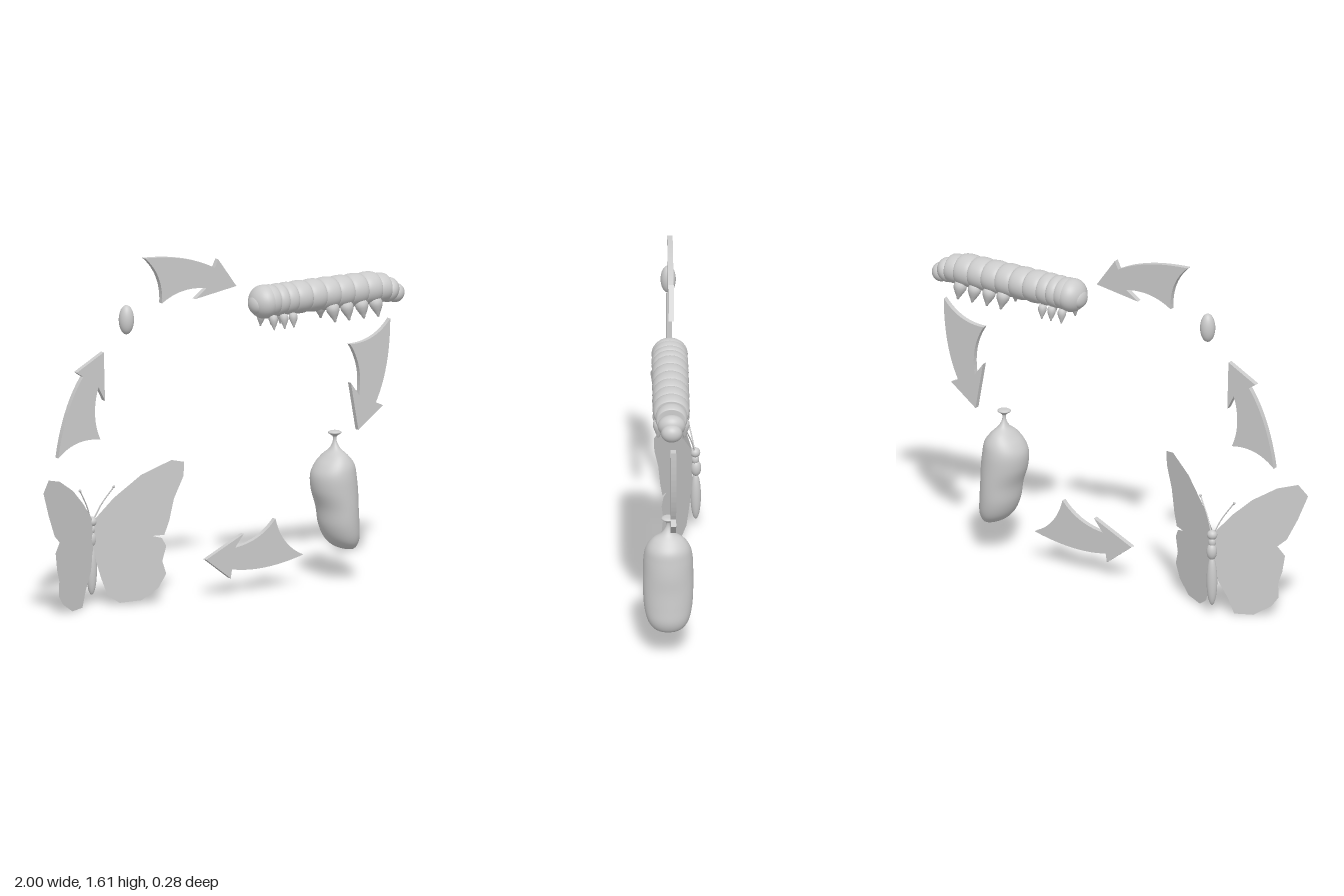
import * as THREE from 'three';

const mat = new THREE.MeshStandardMaterial({ color: 0xcccccc });
const thin = new THREE.MeshStandardMaterial({ color: 0xcccccc, side: THREE.DoubleSide });

function add(parent, name, geometry, x = 0, y = 0, z = 0, material = mat) {
  const mesh = new THREE.Mesh(geometry, material);
  mesh.name = name;
  mesh.position.set(x, y, z);
  parent.add(mesh);
  return mesh;
}

function ellipsoid(parent, name, x, y, z, rx, ry, rz) {
  const mesh = add(parent, name, new THREE.SphereGeometry(1, 32, 20), x, y, z);
  mesh.scale.set(rx, ry, rz);
  return mesh;
}

function group(parent, name) {
  const g = new THREE.Group();
  g.name = name;
  parent.add(g);
  return g;
}

// Curved arrow, with its outer tail corner at the origin
function arrowGeometry() {
  const s = new THREE.Shape();
  s.moveTo(0, 0);
  s.quadraticCurveTo(0.23, -0.005, 0.38, -0.085);
  s.lineTo(0.398, -0.047);
  s.lineTo(0.497, -0.182);
  s.lineTo(0.273, -0.219);
  s.lineTo(0.335, -0.175);
  s.quadraticCurveTo(0.2, -0.15, 0.093, -0.219);
  s.quadraticCurveTo(0.1, -0.085, 0, 0);
  return new THREE.ExtrudeGeometry(s, { depth: 0.025, bevelEnabled: false, curveSegments: 12 });
}

// Smooth body through elliptical sections [y, centre x, radius x, radius z]
function loft(sections, rings = 90, sides = 40) {
  const axis = new THREE.SplineCurve(sections.map(s => new THREE.Vector2(s[1], s[0])));
  const radii = new THREE.SplineCurve(sections.map(s => new THREE.Vector2(s[2], s[3])));
  const pos = [], index = [];
  for (let i = 0; i <= rings; i++) {
    const c = axis.getPoint(i / rings), r = radii.getPoint(i / rings);
    for (let j = 0; j < sides; j++) {
      const a = j / sides * Math.PI * 2;
      pos.push(c.x + Math.max(r.x, 0) * Math.cos(a), c.y, Math.max(r.y, 0) * Math.sin(a));
      if (i === rings) continue;
      const p = i * sides + j, q = i * sides + (j + 1) % sides;
      index.push(p, p + sides, q, q, p + sides, q + sides);
    }
  }
  const g = new THREE.BufferGeometry();
  g.setAttribute('position', new THREE.Float32BufferAttribute(pos, 3));
  g.setIndex(index);
  g.computeVertexNormals();
  return g;
}

// Bulging barrel of radius 1 and length 2, lying along x
function barrelGeometry() {
  const pts = [new THREE.Vector2(0, -1)];
  for (let i = 0; i <= 14; i++) {
    const a = -Math.PI / 2 + i / 14 * Math.PI;
    pts.push(new THREE.Vector2(0.86 + 0.14 * Math.cos(a), Math.sin(a)));
  }
  pts.push(new THREE.Vector2(0, 1));
  return new THREE.LatheGeometry(pts, 40).rotateZ(-Math.PI / 2);
}

function legGeometry(r, h) {
  const profile = [[0, -h], [0.15, -h * 0.98], [0.3, -h * 0.8], [0.62, -h * 0.55], [0.95, -h * 0.25],
    [1, 0], [0.8, h * 0.2], [0, h * 0.3]];
  return new THREE.LatheGeometry(profile.map(([x, y]) => new THREE.Vector2(x * r, y)), 20);
}

function caterpillar(parent) {
  const g = group(parent, 'caterpillar');
  const z = 0.013;
  // head end
  ellipsoid(g, 'head', 0.245, 1.343, z, 0.066, 0.078, 0.083);
  ellipsoid(g, 'face', 0.205, 1.335, z, 0.033, 0.046, 0.05);
  // body segments [start, end, centre y, radius y, radius z]
  const barrel = barrelGeometry();
  const segments = [[0.24, 0.3, 1.345, 0.075, 0.082], [0.295, 0.343, 1.345, 0.075, 0.084], [0.34, 0.396, 1.346, 0.075, 0.084]];
  for (let i = 0; i < 6; i++) segments.push([0.392 + i * 0.0755, 0.47 + i * 0.0755, 1.346, 0.076, 0.085]);
  segments.push([0.842, 0.905, 1.341, 0.068, 0.074]);
  segments.forEach(([a, b, y, ry, rz], i) => {
    add(g, 'segment' + (i + 1), barrel, (a + b) / 2, y, z).scale.set((b - a) / 2, ry, rz);
  });
  // drooping tail end
  const taper = ellipsoid(g, 'tailSegment', 0.92, 1.326, z, 0.046, 0.058, 0.064);
  const tail = ellipsoid(g, 'tail', 0.96, 1.308, z, 0.04, 0.045, 0.049);
  taper.rotation.z = tail.rotation.z = -0.4;
  // front legs and prolegs, in pairs
  const frontLeg = legGeometry(0.02, 0.055), proleg = legGeometry(0.031, 0.07);
  for (const side of [-1, 1]) {
    for (const x of [0.265, 0.322, 0.372]) {
      add(g, 'frontLeg', frontLeg, x, 1.272, z + side * 0.052).rotation.x = -side * 0.12;
    }
    for (const x of [0.585, 0.662, 0.742, 0.82]) {
      const leg = add(g, 'proleg', proleg, x, 1.288, z + side * 0.053);
      leg.rotation.set(-side * 0.12, 0, 0.14);
    }
  }
}

function chrysalis(parent) {
  const sections = [
    [0.150, 0.685, 0, 0], [0.152, 0.685, 0.026, 0.045], [0.172, 0.672, 0.055, 0.078], [0.21, 0.659, 0.077, 0.099],
    [0.27, 0.645, 0.088, 0.111], [0.35, 0.636, 0.092, 0.115], [0.43, 0.622, 0.105, 0.115],
    [0.5, 0.616, 0.104, 0.112], [0.55, 0.622, 0.088, 0.1], [0.59, 0.625, 0.055, 0.073],
    [0.62, 0.625, 0.025, 0.032], [0.65, 0.624, 0.01, 0.012], [0.675, 0.624, 0.009, 0.009],
    [0.684, 0.624, 0.018, 0.018], [0.695, 0.624, 0.031, 0.031], [0.703, 0.624, 0.02, 0.02], [0.704, 0.624, 0, 0]];
  add(group(parent, 'chrysalis'), 'chrysalisBody', loft(sections), 0, 0, 0.025);
}

// Flat wing given by [distance from body, height], swept forward from the hinge
function wing(parent, name, side, outline) {
  const s = new THREE.Shape(outline.map(([x, y]) => new THREE.Vector2(side * x, y)));
  const geo = new THREE.ShapeGeometry(s);
  const p = geo.attributes.position;
  for (let i = 0; i < p.count; i++) p.setZ(i, Math.abs(p.getX(i)) * 0.48);
  geo.computeVertexNormals();
  add(parent, name, geo, -0.607, 0, -0.103, thin);
}

function butterfly(parent) {
  const g = group(parent, 'butterfly');
  const x = -0.607;
  wing(g, 'rightWing', -1, [[0, 0.395], [0.08, 0.49], [0.16, 0.565], [0.265, 0.628], [0.352, 0.65], [0.393, 0.597],
    [0.35, 0.48], [0.304, 0.38], [0.265, 0.345], [0.297, 0.3], [0.285, 0.22], [0.268, 0.165], [0.27, 0.095],
    [0.24, 0.052], [0.165, 0.005], [0.085, 0.007], [0.06, 0.08], [0.02, 0.16], [0, 0.25]]);
  wing(g, 'leftWing', 1, [[0, 0.395], [0.085, 0.5], [0.2, 0.605], [0.325, 0.67], [0.377, 0.66], [0.375, 0.595],
    [0.335, 0.49], [0.315, 0.385], [0.295, 0.322], [0.245, 0.318], [0.285, 0.308], [0.303, 0.27], [0.287, 0.2],
    [0.303, 0.14], [0.27, 0.075], [0.2, 0.02], [0.11, 0.01], [0.06, 0.045], [0.032, 0.13], [0, 0.25]]);
  // body
  ellipsoid(g, 'head', x, 0.39, -0.115, 0.024, 0.023, 0.023);
  ellipsoid(g, 'neck', x, 0.355, -0.115, 0.018, 0.024, 0.018);
  ellipsoid(g, 'thorax', x, 0.31, -0.118, 0.024, 0.04, 0.024);
  ellipsoid(g, 'abdomen', x, 0.167, -0.117, 0.025, 0.118, 0.024);
  // antennae
  for (const side of [-1, 1]) {
    const curve = new THREE.CatmullRomCurve3([[0.008, 0.4, -0.112], [0.04, 0.47, -0.096], [0.092, 0.55, -0.072]]
      .map(([a, b, c]) => new THREE.Vector3(x + side * a, b, c)));
    add(g, 'antenna', new THREE.TubeGeometry(curve, 16, 0.003, 8));
    ellipsoid(g, 'antennaTip', x + side * 0.092, 0.55, -0.072, 0.006, 0.007, 0.006);
  }
}

export function createModel() {
  const model = new THREE.Group();
  model.name = 'lifeCycle';

  ellipsoid(model, 'egg', -0.5, 1.34, 0.01, 0.035, 0.068, 0.035);
  caterpillar(model);
  chrysalis(model);
  butterfly(model);

  // arrows [name, x, y, z, clockwise turn in degrees]
  const arrow = arrowGeometry();
  const arrows = [['topArrow', -0.402, 1.615, -0.009, 0], ['leftArrow', 0.932, 1.19, -0.009, 89],
    ['bottomArrow', 0.447, 0.147, 0.01, 163.4], ['rightArrow', -0.874, 0.735, -0.009, 277.8]];
  for (const [name, x, y, z, turn] of arrows) {
    add(model, name, arrow, x, y, z).rotation.z = -THREE.MathUtils.degToRad(turn);
  }
  return model;
}
